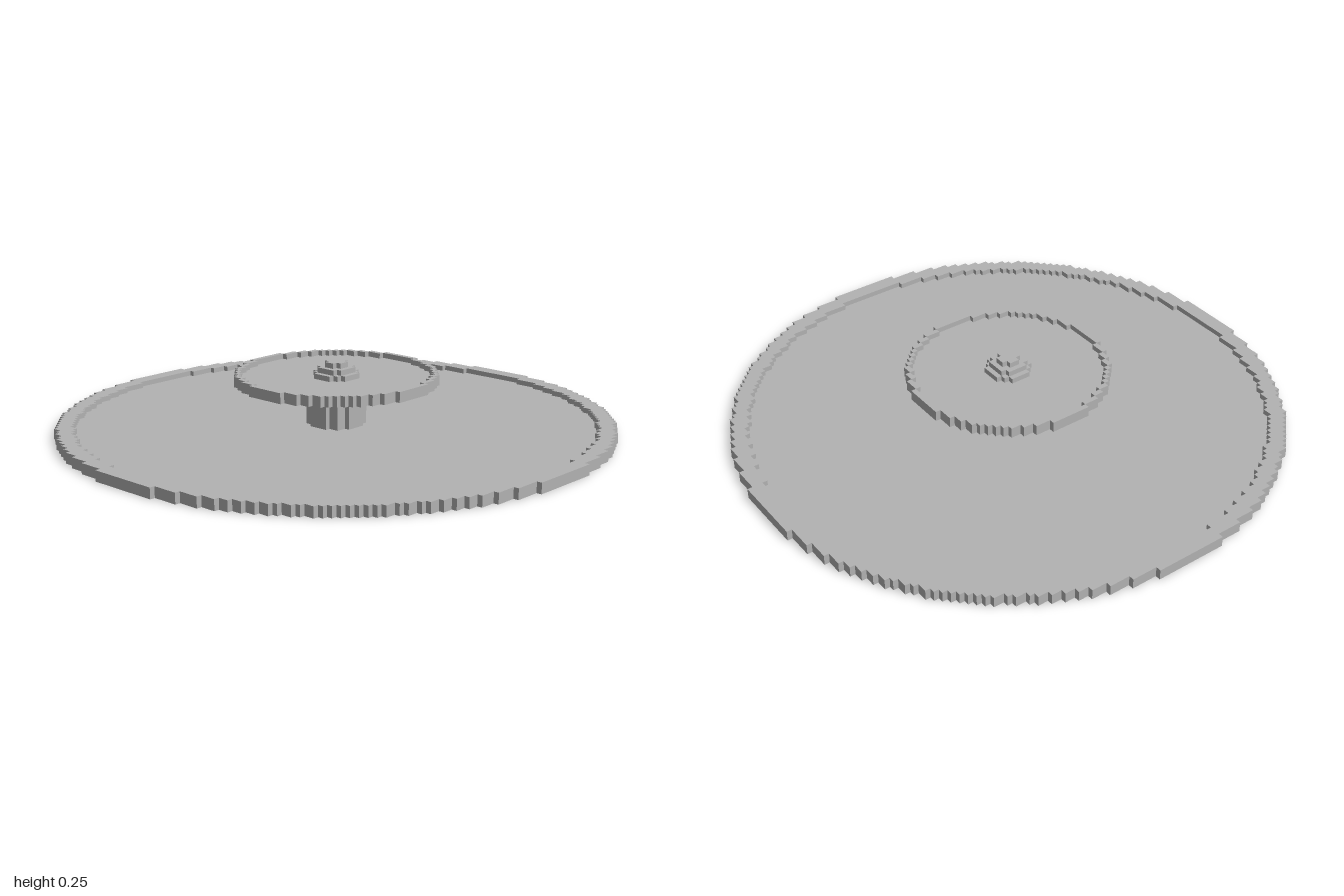
import * as THREE from 'three';

const V = 2 / 104; // edge of one cube

// Half width, in cubes, of row j of a stepped disc with radius r
function halfWidth(r, j) {
  return Math.round(Math.sqrt(r * r - (j + 0.5) ** 2) - 1e-6);
}

// Stepped outline of a disc built from cubes
function discOutline(r) {
  const right = [];
  for (let j = -r; j < r; j++) {
    const w = halfWidth(r, j);
    if (j === -r || w !== halfWidth(r, j - 1)) right.push([w, j]);
    if (j === r - 1 || w !== halfWidth(r, j + 1)) right.push([w, j + 1]);
  }
  const left = right.map(([x, y]) => [-x, y]).reverse();
  return [...right, ...left].map(([x, y]) => new THREE.Vector2(x * V, y * V));
}

export function createModel() {
  const stone = new THREE.MeshStandardMaterial({ color: 0xb2b2b2 });
  stone.name = 'grey stone';
  const group = new THREE.Group();
  group.name = 'fountain';

  // Disc, or ring when inner is given, from level bottom to level top
  function layer(name, r, bottom, top, inner = 0) {
    const shape = new THREE.Shape(discOutline(r));
    if (inner) shape.holes.push(new THREE.Path(discOutline(inner)));
    const geometry = new THREE.ExtrudeGeometry(shape, { depth: (top - bottom) * V, bevelEnabled: false });
    geometry.rotateX(-Math.PI / 2);
    geometry.translate(0, bottom * V, 0);
    const mesh = new THREE.Mesh(geometry, stone);
    mesh.name = name;
    group.add(mesh);
  }

  // Lower basin
  layer('basinFloor', 52, 0, 1);
  layer('basinRim', 52, 1, 2, 49);

  // Column and upper bowl
  layer('column', 5, 1, 9);
  layer('bowlFloor', 19, 9, 10);
  layer('bowlRim', 19, 10, 11, 18);

  // Stepped finial
  [4, 3, 2].forEach((r, i) => layer('finialStep' + (i + 1), r, 10 + i, 11 + i));

  return group;
}
